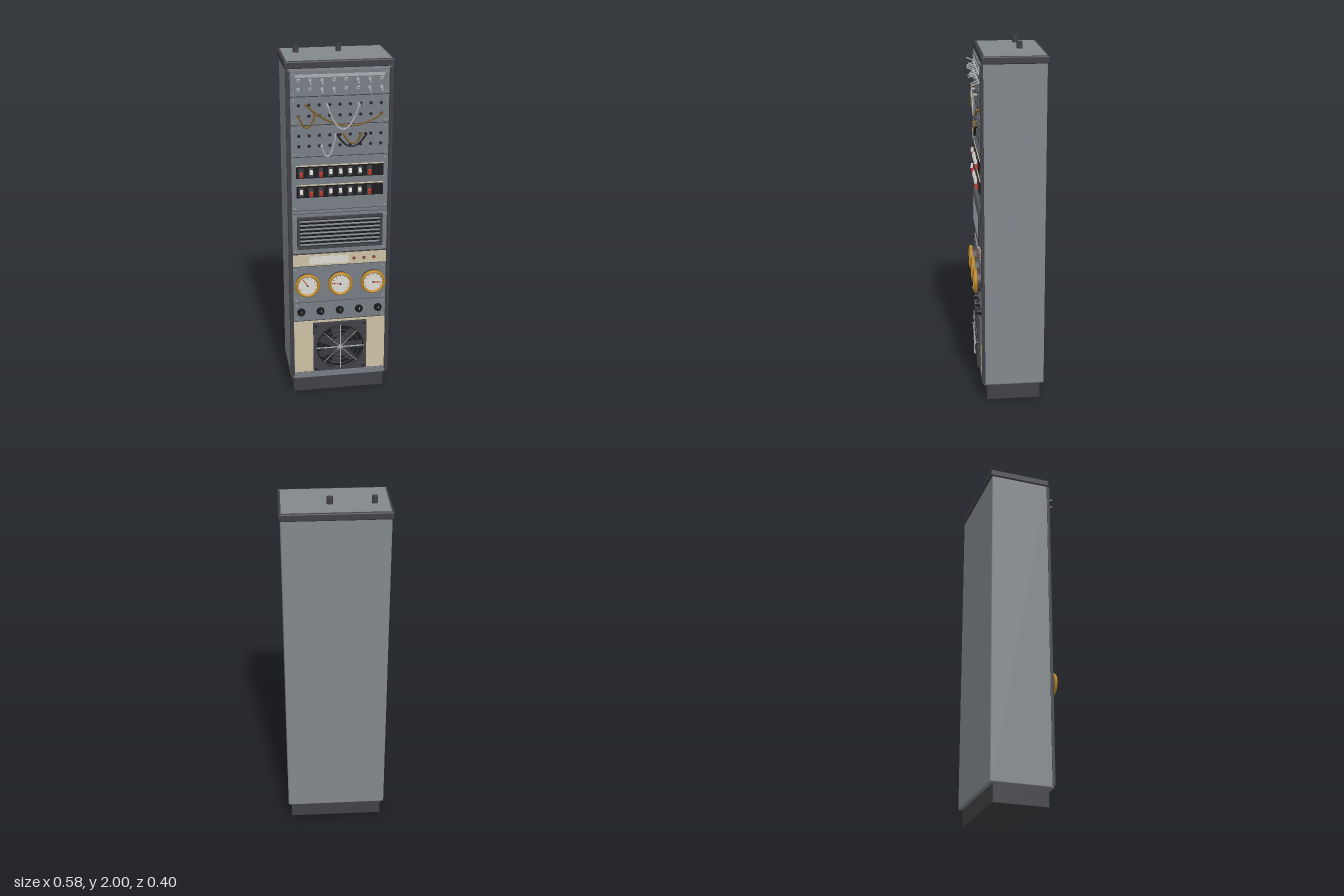
import * as THREE from 'three';
import { RoundedBoxGeometry } from 'three/addons/geometries/RoundedBoxGeometry.js';

const mat = (name, color) => {
  const m = new THREE.MeshStandardMaterial({ color });
  m.name = name;
  return m;
};

export function createModel() {
  const grey = mat('cabinet grey', 0x83888c), panelGrey = mat('panel grey', 0x787e85);
  const dark = mat('dark trim', 0x414146), black = mat('black', 0x1b1c1f);
  const cream = mat('cream', 0xcdc1a4), white = mat('dial white', 0xdcdad4);
  const gold = mat('gold', 0xc08a28), red = mat('red', 0xc4392b);
  const brown = mat('brown cable', 0x7c5c26), metal = mat('metal', 0xaaaeb1);

  const model = new THREE.Group();
  model.name = 'equipmentRack';
  const F = 0.157; // front plane of the panels

  const add = (name, geo, m, x, y, z, parent = model) => {
    const mesh = new THREE.Mesh(geo, m);
    mesh.name = name;
    mesh.position.set(x, y, z);
    parent.add(mesh);
    return mesh;
  };
  // Box given by centre x, y, size and its z range
  const box = (name, m, x, y, w, h, z0, z1, parent) =>
    add(name, new THREE.BoxGeometry(w, h, z1 - z0), m, x, y, (z0 + z1) / 2, parent);
  const rbox = (name, m, x, y, w, h, z0, z1, r) =>
    add(name, new RoundedBoxGeometry(w, h, z1 - z0, 2, r), m, x, y, (z0 + z1) / 2);
  // Round part whose axis points to the front
  const disc = (name, m, x, y, r, z0, z1, parent, r1 = r, n = 24) =>
    add(name, new THREE.CylinderGeometry(r1, r, z1 - z0, n).rotateX(Math.PI / 2), m, x, y, (z0 + z1) / 2, parent);
  const group = (name) => {
    const g = new THREE.Group();
    g.name = name;
    model.add(g);
    return g;
  };

  // Cabinet, plinth and cap
  rbox('cabinetBody', grey, 0, 1.015, 0.566, 1.83, -0.192, 0.15, 0.008);
  rbox('plinth', dark, 0, 0.052, 0.53, 0.104, -0.172, 0.13, 0.004);
  rbox('topCap', dark, 0, 1.94, 0.582, 0.04, -0.202, 0.152, 0.007);
  box('topPlate', grey, 0, 1.96, 0.556, 0.003, -0.188, 0.135).rotation.x = 0;
  model.children[3].geometry.dispose();
  model.children[3].geometry = new THREE.BoxGeometry(0.556, 0.005, 0.323);
  for (const x of [-0.203, 0.027])
    add('topPeg', new THREE.CylinderGeometry(0.016, 0.016, 0.044, 20), dark, x, 1.978, -0.074);
  for (const s of [-1, 1]) rbox('frontRail', dark, s * 0.276, 1.015, 0.018, 1.81, 0.14, 0.159, 0.004);
  box('panelBacking', dark, 0, 1.015, 0.54, 1.79, 0.14, 0.1515);

  // Rack panels from top to bottom: [bottom, top, material]
  const panels = [
    [1.778, 1.912, panelGrey], [1.624, 1.772, panelGrey], [1.45, 1.618, panelGrey],
    [1.145, 1.444, panelGrey], [1.125, 1.14, panelGrey], [0.89, 1.12, panelGrey],
    [0.812, 0.88, cream], [0.59, 0.806, panelGrey], [0.475, 0.584, panelGrey],
    [0.142, 0.468, cream], [0.104, 0.137, panelGrey],
  ];
  for (const [lo, hi, m] of panels) {
    box('rackPanel', m, 0, (lo + hi) / 2, 0.524, hi - lo, 0.148, F);
    if (hi - lo > 0.05)
      for (const x of [-0.247, 0.247]) for (const y of [lo + 0.014, hi - 0.014])
        disc('screw', metal, x, y, 0.004, F, F + 0.002, model, 0.004, 8);
  }

  // Toggle switch panel
  const toggles = group('toggleSwitches');
  box('labelStrip', metal, 0, 1.885, 0.475, 0.016, F, F + 0.003, toggles);
  for (let i = 0; i < 8; i++) for (const [j, y] of [1.862, 1.815].entries()) {
    const x = -0.221 + i * 0.063;
    disc('toggleNut', metal, x, y, 0.01, F, F + 0.007, toggles, 0.009, 6);
    const up = (i * 3 + j) % 4 < 2 ? 1 : -1;
    const lever = disc('toggleLever', metal, x, y + up * 0.008, 0.0025, 0.16, 0.2, toggles, 0.004, 8);
    lever.rotation.x = -up * 0.42;
  }

  // Patch bays
  const patch = group('patchBay');
  for (const y of [1.73, 1.672, 1.565, 1.508]) for (let i = 0; i < 9; i++) {
    const x = -0.22 + i * 0.055;
    disc('jackRing', dark, x, y, 0.0095, F, F + 0.004, patch, 0.0095, 12);
    disc('jackHole', black, x, y, 0.006, F + 0.004, F + 0.005, patch, 0.006, 10);
  }
  // Hanging cables: [x0, y0, x1, y1, lowest y, material]
  const cables = [
    [-0.18, 1.73, 0.22, 1.672, 1.618, brown], [-0.22, 1.672, -0.137, 1.672, 1.612, brown],
    [-0.07, 1.73, 0.1, 1.73, 1.598, dark === null ? black : metal], [-0.1, 1.508, -0.025, 1.565, 1.452, metal],
    [-0.015, 1.565, 0.137, 1.565, 1.502, black], [0.02, 1.565, 0.11, 1.565, 1.52, brown],
  ];
  cables.forEach(([x0, y0, x1, y1, low, m], k) => {
    const z = F + 0.014 + (k % 3) * 0.003, pts = [new THREE.Vector3(x0, y0, F)];
    const sag = (y0 + y1) / 2 - low;
    for (let i = 0; i <= 8; i++) {
      const t = i / 8;
      pts.push(new THREE.Vector3(x0 + (x1 - x0) * t, y0 + (y1 - y0) * t - 4 * sag * t * (1 - t), z));
    }
    pts.push(new THREE.Vector3(x1, y1, F));
    add('patchCable', new THREE.TubeGeometry(new THREE.CatmullRomCurve3(pts), 48, 0.0048, 8), m, 0, 0, 0, patch);
    for (const [x, y] of [[x0, y0], [x1, y1]]) disc('cablePlug', m, x, y, 0.007, F, z + 0.004, patch, 0.007, 10);
  });

  // Rocker switch rows; listed switches are red and pressed down
  for (const [y, reds] of [[1.362, [0, 2, 7]], [1.252, [1, 2, 7]]]) {
    const row = group('rockerRow');
    box('rockerStrip', black, 0, y, 0.474, 0.066, F, F + 0.006, row);
    box('rockerLabel', cream, 0, y + 0.036, 0.474, 0.006, F, F + 0.004, row);
    for (let i = 0; i < 8; i++) {
      const on = reds.includes(i), x = -0.211 + i * 0.053;
      box('rockerFrame', dark, x, y, 0.026, 0.05, F + 0.005, F + 0.009, row);
      const r = box('rocker', on ? red : white, x, y + (on ? -0.011 : 0.004), 0.016, 0.025, F + 0.006, F + 0.023, row);
      r.rotation.x = on ? 0.2 : -0.2;
    }
  }

  // Louvred vent
  const vent = group('vent');
  box('ventBack', black, 0, 1.012, 0.46, 0.17, F, F + 0.003, vent);
  for (const s of [-1, 1]) {
    box('ventSide', dark, s * 0.23, 1.012, 0.014, 0.186, F, F + 0.013, vent);
    box('ventEdge', dark, 0, 1.012 + s * 0.086, 0.474, 0.014, F, F + 0.013, vent);
  }
  for (let i = 0; i < 7; i++)
    box('louvre', panelGrey, 0, 0.944 + i * 0.0227, 0.446, 0.004, F, F + 0.012, vent).rotation.x = 0.5;

  // Indicator panel
  box('indicatorPlate', white, -0.06, 0.845, 0.22, 0.044, F, F + 0.003);
  for (const x of [0.08, 0.137, 0.193]) {
    disc('lampCollar', dark, x, 0.845, 0.009, F, F + 0.003, model, 0.009, 16);
    disc('lamp', red, x, 0.845, 0.007, F, F + 0.008, model, 0.005, 16);
  }

  // Dial gauges; the angle is that of the needle
  for (const [x, a] of [[-0.185, 2.15], [0, 3.0], [0.185, -0.13]]) {
    const g = group('gauge');
    g.position.set(x, 0.705, 0);
    disc('gaugeCase', dark, 0, 0, 0.064, F, 0.18, g, 0.064, 40);
    const rim = [[0.055, 0.178], [0.069, 0.178], [0.069, 0.189], [0.064, 0.196], [0.057, 0.196], [0.053, 0.187]];
    const lathe = new THREE.LatheGeometry(rim.map(([r, z]) => new THREE.Vector2(r, z)), 40).rotateX(Math.PI / 2);
    add('gaugeRim', lathe, gold, 0, 0, 0, g);
    disc('gaugeFace', white, 0, 0, 0.055, 0.178, 0.187, g, 0.055, 40);
    for (let i = 0; i < 9; i++) {
      const t = -0.5 + i * (Math.PI + 1) / 8;
      box('gaugeTick', dark, Math.cos(t) * 0.046, Math.sin(t) * 0.046, 0.008, 0.002, 0.187, 0.188, g).rotation.z = t;
    }
    box('needle', red, Math.cos(a) * 0.02, Math.sin(a) * 0.02, 0.052, 0.004, 0.188, 0.19, g).rotation.z = a;
    disc('needleHub', dark, 0, 0, 0.005, 0.187, 0.192, g, 0.005, 12);
  }

  // Rotary knobs
  for (let i = 0; i < 5; i++) {
    const x = -0.22 + i * 0.11;
    disc('knobSkirt', black, x, 0.53, 0.023, F, F + 0.006);
    disc('knob', black, x, 0.53, 0.018, F + 0.006, F + 0.025, model, 0.015);
    box('knobMark', white, x, 0.539, 0.003, 0.011, F + 0.025, F + 0.026);
  }

  // Cooling fan: square frame with a round opening, blades and wire guard
  const fan = group('fan');
  fan.position.set(0, 0.304, 0);
  const frame = new THREE.Shape([[-1, -1], [1, -1], [1, 1], [-1, 1]].map(([x, y]) => new THREE.Vector2(x * 0.153, y * 0.153)));
  frame.holes.push(new THREE.Path().absarc(0, 0, 0.136, 0, Math.PI * 2, true));
  add('fanFrame', new THREE.ExtrudeGeometry(frame, { depth: 0.018, bevelEnabled: false, curveSegments: 40 }), dark, 0, 0, F, fan);
  disc('fanWell', black, 0, 0, 0.137, F, F + 0.002, fan, 0.137, 40);
  disc('fanHub', dark, 0, 0, 0.042, F, F + 0.016, fan, 0.042, 32);
  for (let i = 0; i < 7; i++) {
    const a = i * Math.PI * 2 / 7;
    const b = box('fanBlade', dark, Math.cos(a) * 0.085, Math.sin(a) * 0.085, 0.09, 0.05, F + 0.006, F + 0.009, fan);
    b.rotation.set(0.2, 0, a);
  }
  for (const r of [0.03, 0.056, 0.082, 0.108, 0.134])
    add('guardRing', new THREE.TorusGeometry(r, 0.0022, 6, 48), r === 0.134 ? black : dark, 0, 0, 0.18, fan);
  for (const a of [0, Math.PI / 2])
    box('guardBar', metal, 0, 0, 0.276, 0.005, 0.18, 0.185, fan).rotation.z = a;
  for (const a of [Math.PI / 4, -Math.PI / 4])
    box('guardStay', metal, 0, 0, 0.27, 0.0025, 0.179, 0.182, fan).rotation.z = a;
  disc('guardCentre', metal, 0, 0, 0.012, 0.178, 0.186, fan, 0.012, 16);
  for (const x of [-0.138, 0.138]) for (const y of [-0.138, 0.138])
    disc('fanScrew', black, x, y, 0.007, F + 0.018, F + 0.021, fan, 0.007, 10);

  return model;
}
